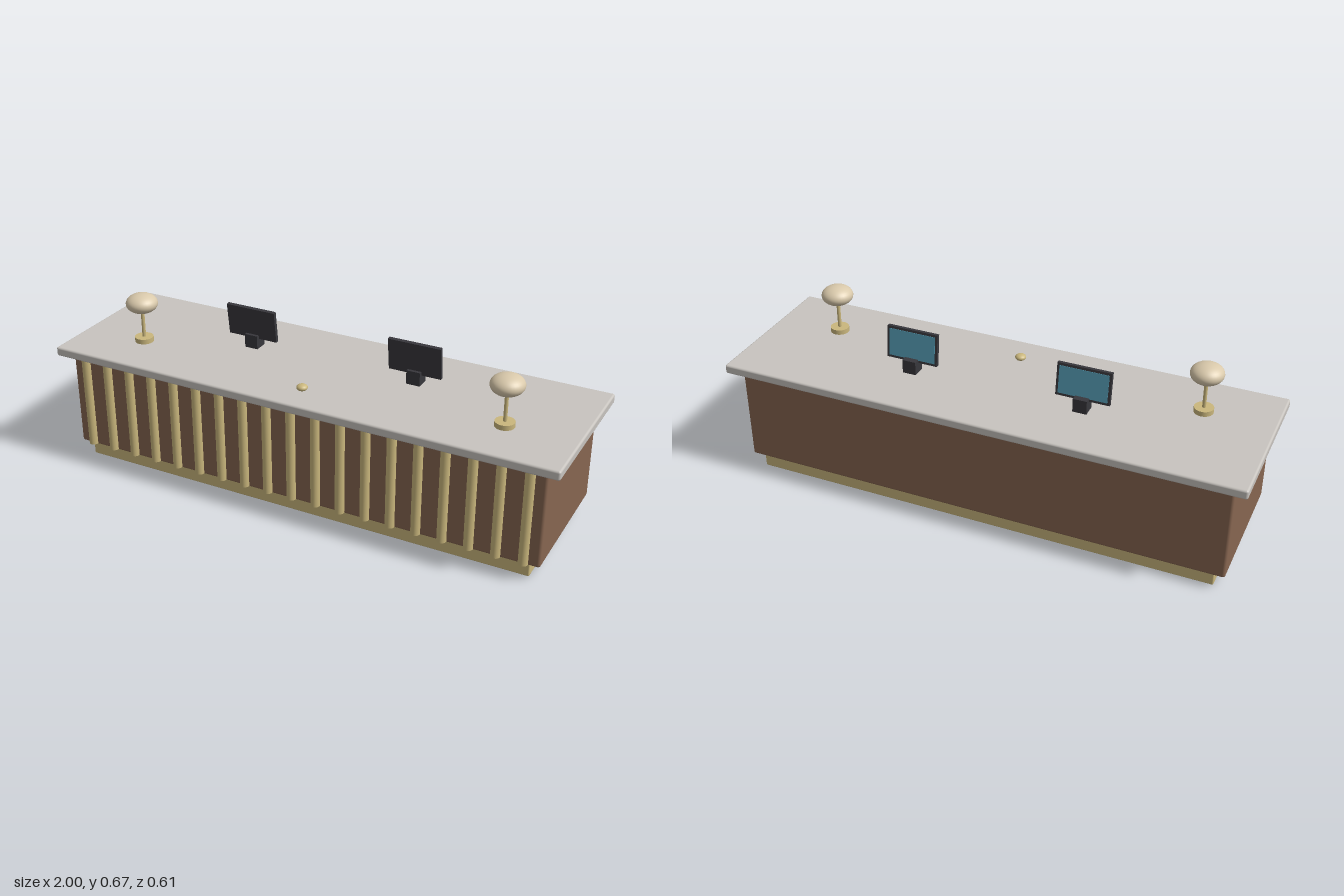
import * as THREE from 'three';
import { RoundedBoxGeometry } from 'three/addons/geometries/RoundedBoxGeometry.js';
import { mergeVertices } from 'three/addons/utils/BufferGeometryUtils.js';

function material(name, color) {
  const m = new THREE.MeshStandardMaterial({ color });
  m.name = name;
  return m;
}

const wood = material('brown wood', 0x866550);
const brass = material('brass', 0xcab77d);
const stone = material('pale stone', 0xc8c4bf);
const dark = material('dark plastic', 0x38373c);
const glass = material('blue screen', 0x5399b0);
const cream = material('cream shade', 0xd9c9ab);

function add(parent, name, geometry, mat, x, y, z) {
  const mesh = new THREE.Mesh(geometry, mat);
  mesh.name = name;
  mesh.position.set(x, y, z);
  parent.add(mesh);
  return mesh;
}

// Rod whose side and end normals blend together
function softRod(radius, height, sides) {
  const g = new THREE.CylinderGeometry(radius, radius, height, sides);
  g.deleteAttribute('normal');
  g.deleteAttribute('uv');
  const merged = mergeVertices(g);
  merged.computeVertexNormals();
  return merged;
}

function createLamp(x) {
  const lamp = new THREE.Group();
  lamp.name = 'lamp';
  lamp.position.set(x, 0.471, 0.1);
  add(lamp, 'lampBase', new THREE.CylinderGeometry(0.036, 0.036, 0.019, 24), brass, 0, 0.0095, 0);
  add(lamp, 'lampPole', new THREE.CylinderGeometry(0.007, 0.007, 0.112, 12), brass, 0, 0.07, 0);
  add(lamp, 'lampShade', new THREE.SphereGeometry(0.061, 32, 20), cream, 0, 0.157, 0).scale.y = 0.62;
  return lamp;
}

function createMonitor(x) {
  const monitor = new THREE.Group();
  monitor.name = 'monitor';
  monitor.position.set(x, 0.471, 0);
  add(monitor, 'monitorStand', new THREE.BoxGeometry(0.053, 0.053, 0.054), dark, 0, 0.0265, -0.0595);
  // Tilted panel, with its screen facing the staff side
  const head = new THREE.Group();
  head.name = 'monitorHead';
  head.position.set(0, 0.101, -0.047);
  head.rotation.x = 0.12;
  add(head, 'monitorPanel', new THREE.BoxGeometry(0.204, 0.125, 0.015), dark, 0, 0, 0);
  add(head, 'monitorScreen', new THREE.BoxGeometry(0.186, 0.106, 0.003), glass, 0, 0, -0.0078);
  monitor.add(head);
  return monitor;
}

export function createModel() {
  const desk = new THREE.Group();
  desk.name = 'receptionDesk';

  // Plinth, body and countertop
  add(desk, 'plinth', new RoundedBoxGeometry(1.82, 0.056, 0.494, 2, 0.005), brass, 0, 0.028, 0);
  add(desk, 'body', new RoundedBoxGeometry(1.9, 0.377, 0.532, 3, 0.01), wood, 0, 0.2465, 0);
  add(desk, 'countertop', new RoundedBoxGeometry(2, 0.036, 0.612, 3, 0.008), stone, 0, 0.453, 0);

  // Row of brass rods along the front
  const rod = softRod(0.018, 0.367, 12);
  for (let i = 0; i < 19; i++) {
    add(desk, 'frontRod', rod, brass, (i - 9) * 0.099, 0.2465, 0.269);
  }

  for (const side of [-1, 1]) {
    desk.add(createLamp(side * 0.735), createMonitor(side * 0.336));
  }

  // Service bell
  add(desk, 'bell', new THREE.SphereGeometry(0.021, 20, 12), brass, 0, 0.479, 0.18).scale.y = 0.6;

  return desk;
}
